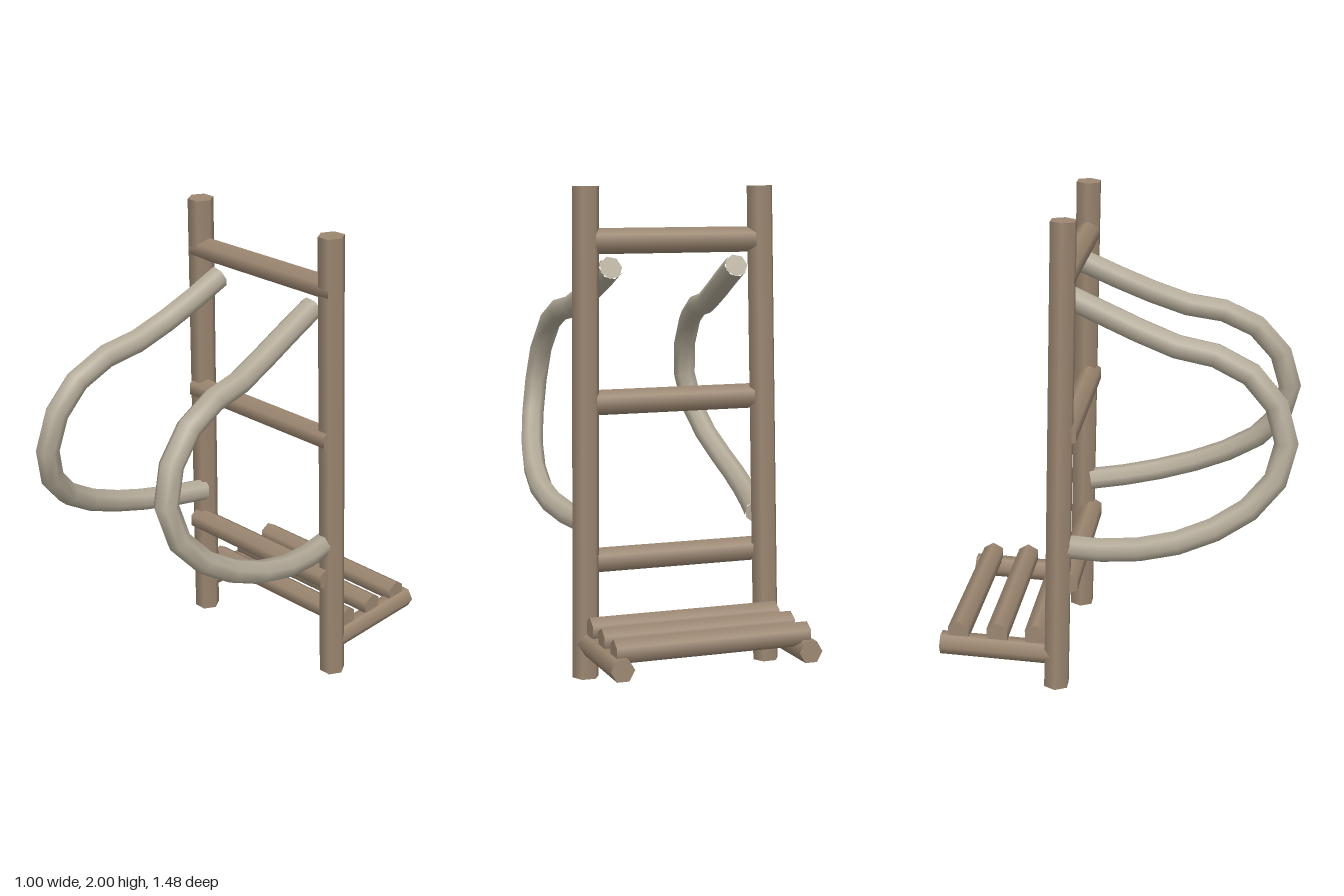
import * as THREE from 'three';

const wood = new THREE.MeshStandardMaterial({ color: 0x9c8771 });
const cane = new THREE.MeshStandardMaterial({ color: 0xb4ab99 });
const X = new THREE.Vector3(1, 0, 0);
const Y = new THREE.Vector3(0, 1, 0);

// Six-sided pole from a to b, with one of its edges facing "edge"
function pole(name, a, b, radius, edge) {
  const from = new THREE.Vector3(...a), to = new THREE.Vector3(...b);
  const dir = to.clone().sub(from);
  const geo = new THREE.CylinderGeometry(radius, radius, dir.length(), 6);
  dir.normalize();
  const z = edge.clone().addScaledVector(dir, -edge.dot(dir)).normalize();
  const x = new THREE.Vector3().crossVectors(dir, z);
  geo.applyMatrix4(new THREE.Matrix4().makeBasis(x, dir, z));
  const mesh = new THREE.Mesh(geo, wood);
  mesh.name = name;
  mesh.position.copy(from).add(to).multiplyScalar(0.5);
  return mesh;
}

// Bent shoulder loop with closed ends
function shoulderLoop(side) {
  const points = [
    [0.27, 1.675, -0.2], [0.28, 1.585, 0], [0.305, 1.49, 0.24], [0.32, 1.46, 0.405],
    [0.333, 1.39, 0.545], [0.345, 1.275, 0.645], [0.36, 1.12, 0.69], [0.385, 0.975, 0.655],
    [0.415, 0.86, 0.56], [0.443, 0.76, 0.4], [0.45, 0.69, 0.215], [0.42, 0.645, 0], [0.37, 0.63, -0.2],
  ].map(([x, y, z]) => new THREE.Vector3(side * x, y, z));
  const curve = new THREE.CatmullRomCurve3(points);
  const group = new THREE.Group();
  group.name = side > 0 ? 'leftShoulderLoop' : 'rightShoulderLoop';
  const tube = new THREE.Mesh(new THREE.TubeGeometry(curve, 14, 0.05, 7), cane);
  tube.name = 'loopTube';
  group.add(tube);
  for (const t of [0, 1]) {
    const cap = new THREE.Mesh(new THREE.CircleGeometry(0.049, 7), cane);
    cap.name = 'loopEnd';
    const end = curve.getPointAt(t);
    cap.position.copy(end);
    cap.lookAt(end.clone().addScaledVector(curve.getTangentAt(t), t ? 1 : -1));
    group.add(cap);
  }
  return group;
}

export function createModel() {
  const model = new THREE.Group();
  model.name = 'packFrame';

  // Uprights, shelf arms and shoulder loops on both sides
  for (const s of [1, -1]) {
    const label = s > 0 ? 'left' : 'right';
    model.add(
      pole(label + 'Upright', [s * 0.4, 0, -0.245], [s * 0.372, 2, -0.193], 0.056, X),
      pole(label + 'ShelfArm', [s * 0.392, 0.145, -0.245], [s * 0.392, 0.168, -0.738], 0.049, X),
      shoulderLoop(s),
    );
  }

  // Rungs across the uprights
  for (const y of [0.475, 1.13, 1.782])
    model.add(pole('rung', [-0.403, y, -0.195], [0.403, y, -0.195], 0.052, Y));

  // Shelf slats resting on the arms
  for (const z of [-0.332, -0.495, -0.66])
    model.add(pole('shelfSlat', [-0.406, 0.223, z], [0.406, 0.223, z], 0.05, Y));

  return model;
}
